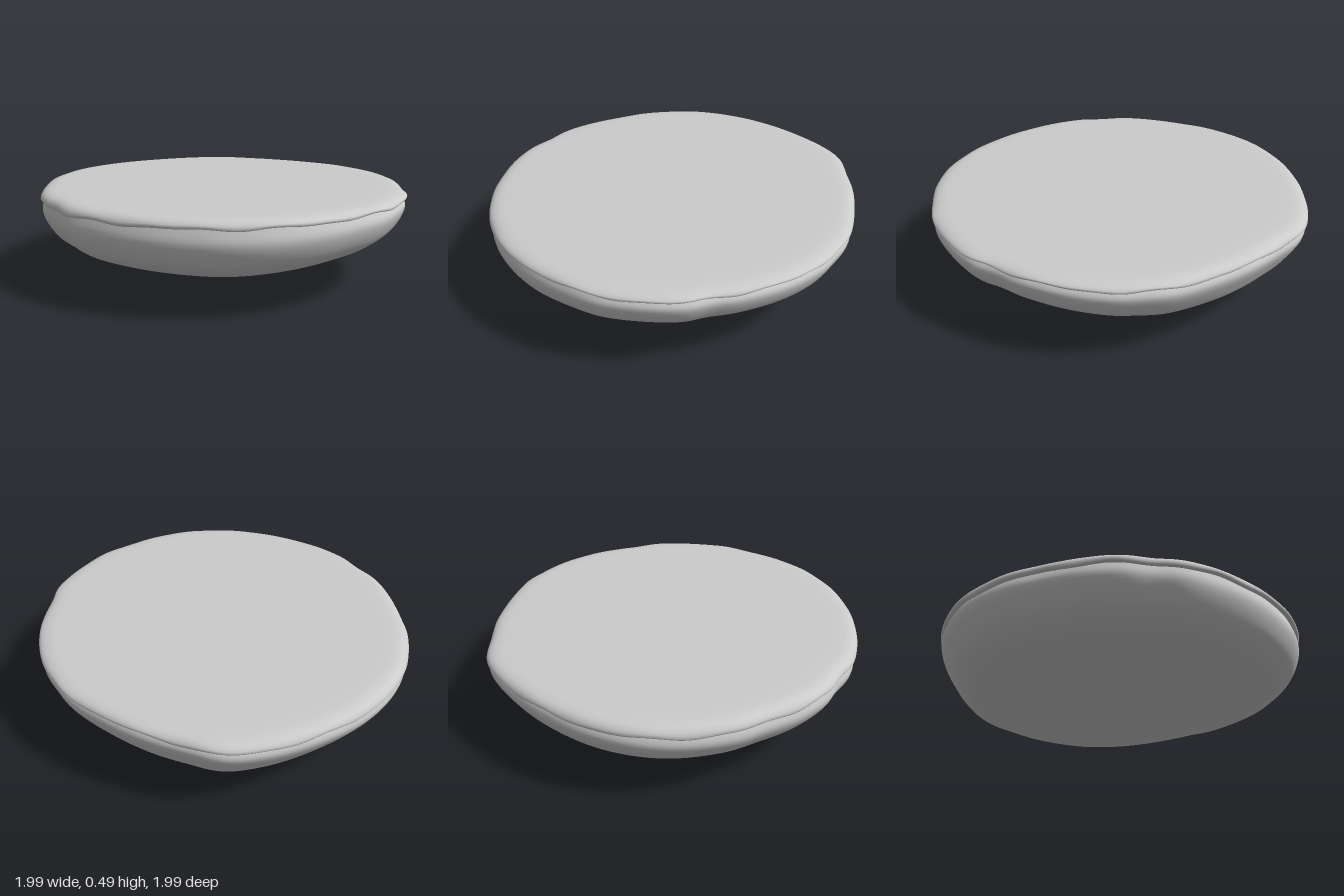
import * as THREE from 'three';
import { mergeVertices } from 'three/addons/utils/BufferGeometryUtils.js';

const COLUMNS = 192;

// Irregular rim as seen from above (x, z), running from +x towards +z
const RIM = [
  [0.985, 0.12], [0.95, 0.3], [0.87, 0.5], [0.78, 0.62], [0.6, 0.8], [0.4, 0.92], [0.2, 0.98],
  [0, 0.99], [-0.2, 0.965], [-0.4, 0.9], [-0.6, 0.79], [-0.7, 0.68], [-0.8, 0.58], [-0.9, 0.4],
  [-0.96, 0.2], [-0.995, 0.05], [-0.99, -0.2], [-0.93, -0.4], [-0.8, -0.61], [-0.6, -0.8],
  [-0.4, -0.93], [-0.2, -1], [0, -0.98], [0.2, -0.94], [0.4, -0.87], [0.6, -0.77], [0.7, -0.68],
  [0.8, -0.57], [0.9, -0.38], [0.96, -0.15], [0.97, 0],
];
const rimCurve = new THREE.CatmullRomCurve3(RIM.map(([x, z]) => new THREE.Vector3(x, 0, z)), true, 'centripetal');
const rim = rimCurve.getSpacedPoints(COLUMNS).slice(0, COLUMNS);

// Underside heights at each fraction from the lowest point to the rim
const FRACTIONS = [0, 0.2, 0.4, 0.6, 0.8, 0.9, 0.96, 1, 0.975];
const HEIGHTS = [
  [0, 0.03, 0.098, 0.167, 0.225, 0.275, 0.325, 0.41, 0.46],  // +x
  [0, 0.035, 0.075, 0.125, 0.185, 0.23, 0.28, 0.37, 0.46],   // +z
  [0, 0.02, 0.065, 0.115, 0.18, 0.235, 0.3, 0.38, 0.46],     // -x
  [0, 0.015, 0.06, 0.108, 0.158, 0.22, 0.31, 0.4, 0.46],     // -z
];

// Closed rings of points, joined from the centre outwards
function ringSurface(rows, pointAt, facesUp) {
  const positions = [], index = [];
  for (let i = 0; i < rows; i++) {
    for (let j = 0; j < COLUMNS; j++) positions.push(...pointAt(i, rim[j]));
  }
  for (let i = 0; i < rows - 1; i++) {
    for (let j = 0; j < COLUMNS; j++) {
      const k = (j + 1) % COLUMNS;
      const a = i * COLUMNS + j, b = i * COLUMNS + k, c = a + COLUMNS, d = b + COLUMNS;
      if (facesUp) index.push(b, d, c), i > 0 && index.push(a, b, c);
      else index.push(b, c, d), i > 0 && index.push(a, c, b);
    }
  }
  let geometry = new THREE.BufferGeometry();
  geometry.setAttribute('position', new THREE.Float32BufferAttribute(positions, 3));
  geometry.setIndex(index);
  geometry = mergeVertices(geometry, 1e-5);
  geometry.computeVertexNormals();
  return geometry;
}

// Rounded rocky belly with an off-centre lowest point
function undersideGeometry() {
  const rows = 41;
  const profiles = HEIGHTS.map((h) =>
    new THREE.CatmullRomCurve3(h.map((y, i) => new THREE.Vector3(FRACTIONS[i], y, 0)), false, 'catmullrom', 0.5)
      .getPoints(rows - 1));
  return ringSurface(rows, (i, p) => {
    const turn = ((Math.atan2(p.z, p.x) / (Math.PI / 2)) + 4) % 4;
    const k = Math.floor(turn);
    const blend = (1 - Math.cos((turn - k) * Math.PI)) / 2;
    const from = profiles[k][i], to = profiles[(k + 1) % 4][i];
    const s = from.x;
    const y = THREE.MathUtils.lerp(from.y, to.y, blend);
    return [
      THREE.MathUtils.lerp(0.05, p.x * 0.992, s),
      Math.max(0, y),
      THREE.MathUtils.lerp(0.08, p.z * 0.992, s),
    ];
  }, false);
}

// Flat top with a soft edge and a wavy lip: [scale, height, share of the wave]
const CAP = [
  [0, 0.49, 0], [0.5, 0.49, 0], [0.85, 0.49, 0], [0.92, 0.489, 0], [0.95, 0.486, 0],
  [0.972, 0.48, 0.1], [0.988, 0.471, 0.3], [0.997, 0.46, 0.6], [1, 0.45, 0.9],
  [0.995, 0.442, 1], [0.98, 0.441, 1], [0.95, 0.447, 1],
];
function capGeometry() {
  return ringSurface(CAP.length, (i, p) => {
    const [scale, height, share] = CAP[i];
    const a = Math.atan2(p.z, p.x);
    const wave = 0.012 * Math.cos(a) + 0.004 * Math.sin(13 * a) + 0.003 * Math.sin(22 * a + 1);
    return [p.x * scale, height + wave * share, p.z * scale];
  }, true);
}

export function createModel() {
  const group = new THREE.Group();
  group.name = 'floatingIsland';
  const material = new THREE.MeshStandardMaterial({ color: 0xcccccc, side: THREE.DoubleSide });
  const parts = { rockUnderside: undersideGeometry(), grassTop: capGeometry() };
  for (const [name, geometry] of Object.entries(parts)) {
    const mesh = new THREE.Mesh(geometry, material);
    mesh.name = name;
    group.add(mesh);
  }
  return group;
}
